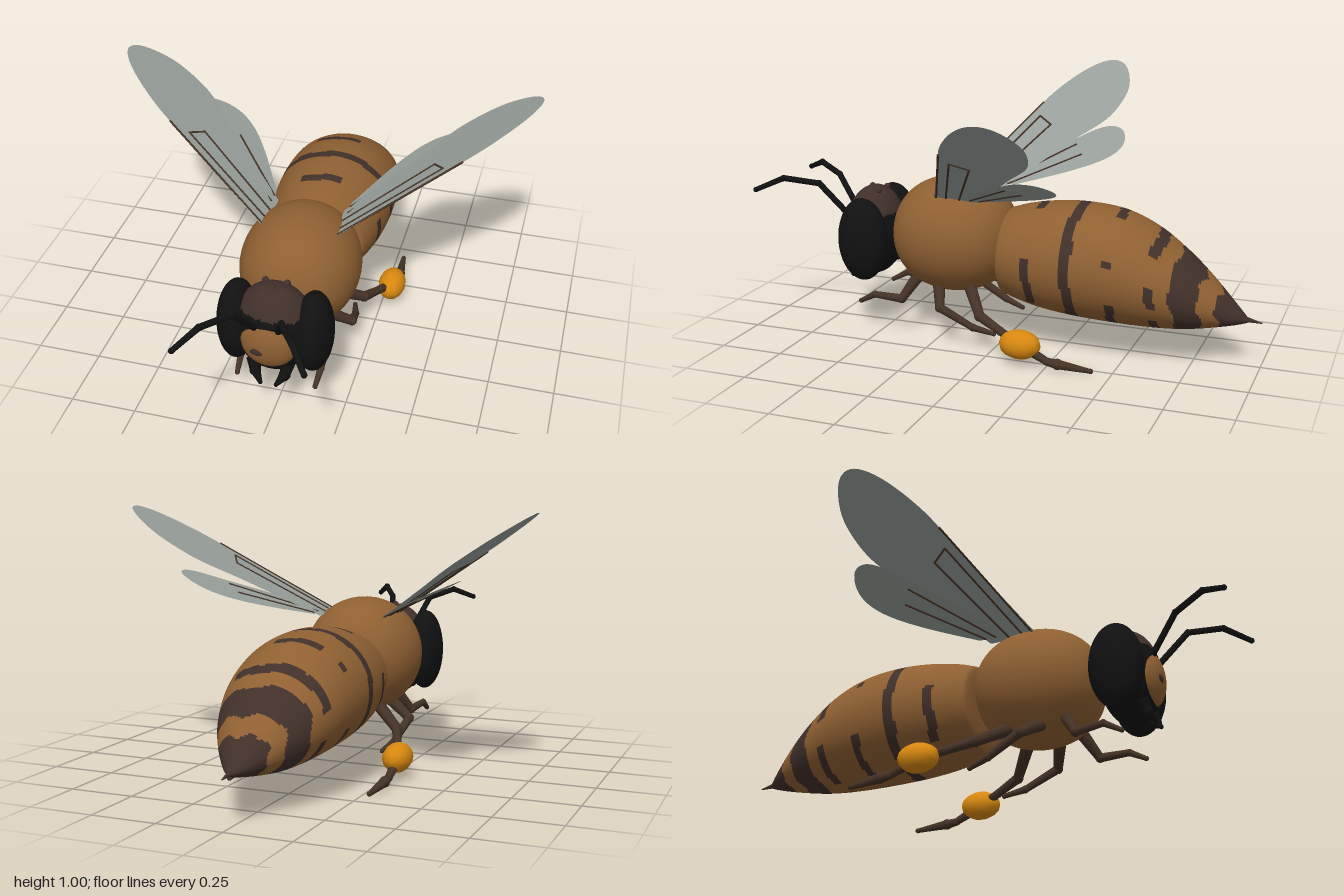
import * as THREE from 'three';

const V = (p) => new THREE.Vector3(...p);

export function createModel() {
  const model = new THREE.Group();
  model.name = 'bee';
  const mat = (name, color, side = THREE.FrontSide) => {
    const m = new THREE.MeshStandardMaterial({ color });
    m.name = name;
    m.side = side;
    return m;
  };
  const brown = mat('warm brown', 0x8f6032);
  const dark = mat('dark brown', 0x41302a);
  const leg = mat('leg brown', 0x443226);
  const black = mat('black', 0x111112);
  const amber = mat('amber pollen', 0xd8880f);
  const wing = mat('wing grey', 0x979e99, THREE.DoubleSide);

  const add = (name, geometry, material, parent = model) => {
    const m = new THREE.Mesh(geometry, material);
    m.name = name;
    parent.add(m);
    return m;
  };

  const ellipsoid = (name, c, r, material, parent, w = 32, h = 24) => {
    const m = add(name, new THREE.SphereGeometry(1, w, h), material, parent);
    m.position.set(...c);
    m.scale.set(...r);
    return m;
  };

  // Smooth body of elliptical rings running front to back; pick() chooses each cell's colour
  const ringBody = (name, ringAt, rows, cols, materials, pick = () => 0) => {
    const pos = [], lists = materials.map(() => []);
    for (let i = 0; i <= rows; i++) {
      const { z, y, rx, ry } = ringAt(i / rows);
      for (let j = 0; j < cols; j++) {
        const a = (j / cols) * Math.PI * 2;
        pos.push(rx * Math.sin(a), y + ry * Math.cos(a), z);
      }
    }
    for (let i = 0; i < rows; i++) for (let j = 0; j < cols; j++) {
      const a = i * cols + j, b = i * cols + (j + 1) % cols;
      let deg = ((j + 0.5) / cols) * 360;
      if (deg > 180) deg -= 360;
      lists[pick(pos[3 * a], pos[3 * a + 1], pos[3 * a + 2], deg)]
        .push(a, b, a + cols, b, b + cols, a + cols);
    }
    const g = new THREE.BufferGeometry();
    g.setAttribute('position', new THREE.Float32BufferAttribute(pos, 3));
    g.setIndex(lists.flat());
    let start = 0;
    lists.forEach((l, k) => { g.addGroup(start, l.length, k); start += l.length; });
    g.computeVertexNormals();
    return add(name, g, materials);
  };

  // Tapered segments with round joints along a path
  const limb = (name, pts, radii, material, parent) => {
    const g = new THREE.Group();
    g.name = name;
    parent.add(g);
    for (let i = 0; i < pts.length - 1; i++) {
      const a = V(pts[i]), b = V(pts[i + 1]), d = b.clone().sub(a);
      const seg = add('segment', new THREE.CylinderGeometry(radii[i + 1], radii[i], d.length(), 10), material, g);
      seg.position.copy(a).addScaledVector(d, 0.5);
      seg.quaternion.setFromUnitVectors(new THREE.Vector3(0, 1, 0), d.normalize());
      const r = radii[i + 1] * 1.1;
      ellipsoid('joint', pts[i + 1], [r, r, r], material, g, 10, 8);
    }
    return g;
  };

  // Thorax
  ringBody('thorax', (t) => {
    const r = Math.pow(Math.max(Math.sin(t * Math.PI), 0), 0.8);
    return { z: 0.22 + 0.245 * Math.cos(t * Math.PI), y: 0.41, rx: 0.23 * r, ry: 0.23 * r };
  }, 40, 48, [brown]);

  // Abdomen: z, top, bottom, half width
  const profile = [
    [0.0, 0.37, 0.35, 0.005], [-0.005, 0.51, 0.21, 0.16], [-0.04, 0.54, 0.185, 0.2],
    [-0.16, 0.567, 0.155, 0.228], [-0.3, 0.577, 0.138, 0.24], [-0.45, 0.562, 0.13, 0.235],
    [-0.58, 0.51, 0.128, 0.217], [-0.7, 0.427, 0.132, 0.176], [-0.8, 0.34, 0.145, 0.122],
    [-0.89, 0.25, 0.162, 0.06], [-0.94, 0.2, 0.175, 0.018], [-0.955, 0.187, 0.184, 0.002],
  ];
  const heights = new THREE.CatmullRomCurve3(profile.map((p) => V(p.slice(0, 3))), false, 'catmullrom', 0.5);
  const widths = new THREE.SplineCurve(profile.map((p) => new THREE.Vector2(p[0], p[3])));
  // Broken stripes: z, half thickness, angle ranges measured from the top
  const stripes = [
    [-0.14, 0.018, [[-25, 17], [80, 142], [-142, -80]]],
    [-0.3, 0.021, [[-180, 180]]],
    [-0.455, 0.017, [[-28, 18], [-60, -50], [68, 76], [113, 165], [-165, -113]]],
    [-0.615, 0.018, [[-80, 45], [83, 108], [128, 168], [-168, -110]]],
  ];
  ringBody('abdomen', (t) => {
    const h = heights.getPoint(t);
    return { z: h.x, y: (h.y + h.z) / 2, rx: Math.max(widths.getPoint(t).y, 0.001), ry: (h.y - h.z) / 2 };
  }, 165, 110, [brown, dark], (x, y, z, deg) => {
    const a = deg * Math.PI / 180;
    const wave = 0.008 * Math.sin(3 * a + 1) + 0.006 * Math.sin(7 * a);
    const zw = z + wave;
    if (zw < -0.84 || (zw < -0.685 && zw > -0.78)) return 1;
    return stripes.some(([sz, hw, spans]) => Math.abs(z + wave * 0.6 - sz) < hw
      && spans.some(([lo, hi]) => deg > lo && deg < hi)) ? 1 : 0;
  });
  limb('sting', [[0, 0.19, -0.93], [0, 0.18, -0.998]], [0.012, 0.002], dark, model);

  // Head: dark crown, black lower mask, brown face
  ringBody('head', (t) => {
    const s = Math.max(Math.sin(t * Math.PI), 0);
    return { z: 0.575 + 0.115 * Math.cos(t * Math.PI), y: 0.392, rx: 0.15 * s, ry: 0.183 * s };
  }, 48, 72, [dark, black], (x, y) => (y < 0.48 ? 1 : 0));
  ellipsoid('face', [0, 0.375, 0.645], [0.105, 0.108, 0.057], brown);
  ellipsoid('faceSpot', [-0.028, 0.358, 0.697], [0.028, 0.016, 0.005], dark, model, 12, 8);
  for (const [x, y, z] of [[-0.04, 0.562, 0.54], [0.04, 0.562, 0.54], [0, 0.57, 0.585]])
    ellipsoid('simpleEye', [x, y, z], [0.013, 0.013, 0.013], dark, model, 12, 8);

  // Wing outlines and veins as x, z on a sloping plane
  const wings = [
    { name: 'forewing', y: (x) => 0.6 + 0.64 * (x - 0.17),
      outline: [[0.13, 0.26], [0.45, 0.1], [0.62, 0.02], [0.75, -0.08], [0.808, -0.17], [0.79, -0.24],
        [0.71, -0.285], [0.62, -0.292], [0.5, -0.25], [0.38, -0.14], [0.25, -0.03], [0.13, 0.07]],
      veins: [[[0.14, 0.245], [0.56, 0.05]], [[0.14, 0.205], [0.49, 0.04], [0.45, -0.02], [0.14, 0.15]]] },
    { name: 'hindwing', y: (x) => 0.77 + 0.453 * (x - 0.555),
      outline: [[0.14, 0.15], [0.3, 0.03], [0.45, -0.12], [0.53, -0.2], [0.555, -0.26], [0.53, -0.31],
        [0.46, -0.335], [0.39, -0.32], [0.32, -0.26], [0.24, -0.14], [0.15, 0.03]],
      veins: [[[0.15, 0.1], [0.42, -0.14]], [[0.15, 0.06], [0.36, -0.18]]] },
  ];

  for (const s of [1, -1]) {
    const side = new THREE.Group();
    side.name = s > 0 ? 'leftSide' : 'rightSide';
    model.add(side);
    const mirror = (pts) => pts.map(([x, y, z]) => [s * x, y, z]);

    // Compound eyes, antennae and mandibles
    ellipsoid('compoundEye', [s * 0.143, 0.385, 0.563], [0.073, 0.167, 0.103], black, side);
    limb('antenna', mirror([[0.042, 0.445, 0.67], [0.088, 0.582, 0.78], [0.16, 0.61, 0.9], [0.225, 0.57, 0.99]]),
      [0.012, 0.012, 0.012, 0.01], black, side);
    limb('mandible', mirror([[0.065, 0.27, 0.63], [0.055, 0.225, 0.645], [0.03, 0.195, 0.67]]),
      [0.026, 0.02, 0.008], black, side);

    // Wings
    for (const w of wings) {
      const curve = new THREE.SplineCurve(w.outline.map(([x, z]) => new THREE.Vector2(x, z)));
      const g = new THREE.ShapeGeometry(new THREE.Shape(curve.getPoints(60)));
      const p = g.attributes.position;
      for (let i = 0; i < p.count; i++) p.setXYZ(i, s * p.getX(i), w.y(p.getX(i)), p.getY(i));
      if (s > 0) g.setIndex(Array.from(g.index.array).reverse());
      g.computeVertexNormals();
      add(w.name, g, wing, side);
      for (const v of w.veins)
        limb(w.name + 'Vein', mirror(v.map(([x, z]) => [x, w.y(x), z])), v.map(() => 0.004), leg, side);
    }

    // Legs
    limb('frontLeg', mirror([[0.09, 0.24, 0.35], [0.14, 0.155, 0.4], [0.155, 0.165, 0.51], [0.15, 0.13, 0.575]]),
      [0.024, 0.017, 0.013, 0.009], leg, side);
    limb('middleLeg', mirror([[0.09, 0.23, 0.26], [0.2, 0.16, 0.21], [0.185, 0.09, 0.08], [0.165, 0.067, 0]]),
      [0.026, 0.018, 0.014, 0.009], leg, side);
    limb('hindLeg', mirror([[0.09, 0.23, 0.13], [0.21, 0.15, 0.04], [0.25, 0.115, -0.06], [0.285, 0.085, -0.15],
      [0.29, 0.035, -0.26]]), [0.026, 0.02, 0.016, 0.02, 0.014], leg, side);
    limb('hindFoot', mirror([[0.29, 0.036, -0.25], [0.29, 0.03, -0.3], [0.28, 0.016, -0.425]]),
      [0.014, 0.019, 0.009], leg, side);
    ellipsoid('pollenBasket', [s * 0.285, 0.087, -0.15], [0.055, 0.056, 0.082], amber, side, 12, 8);
  }
  return model;
}
